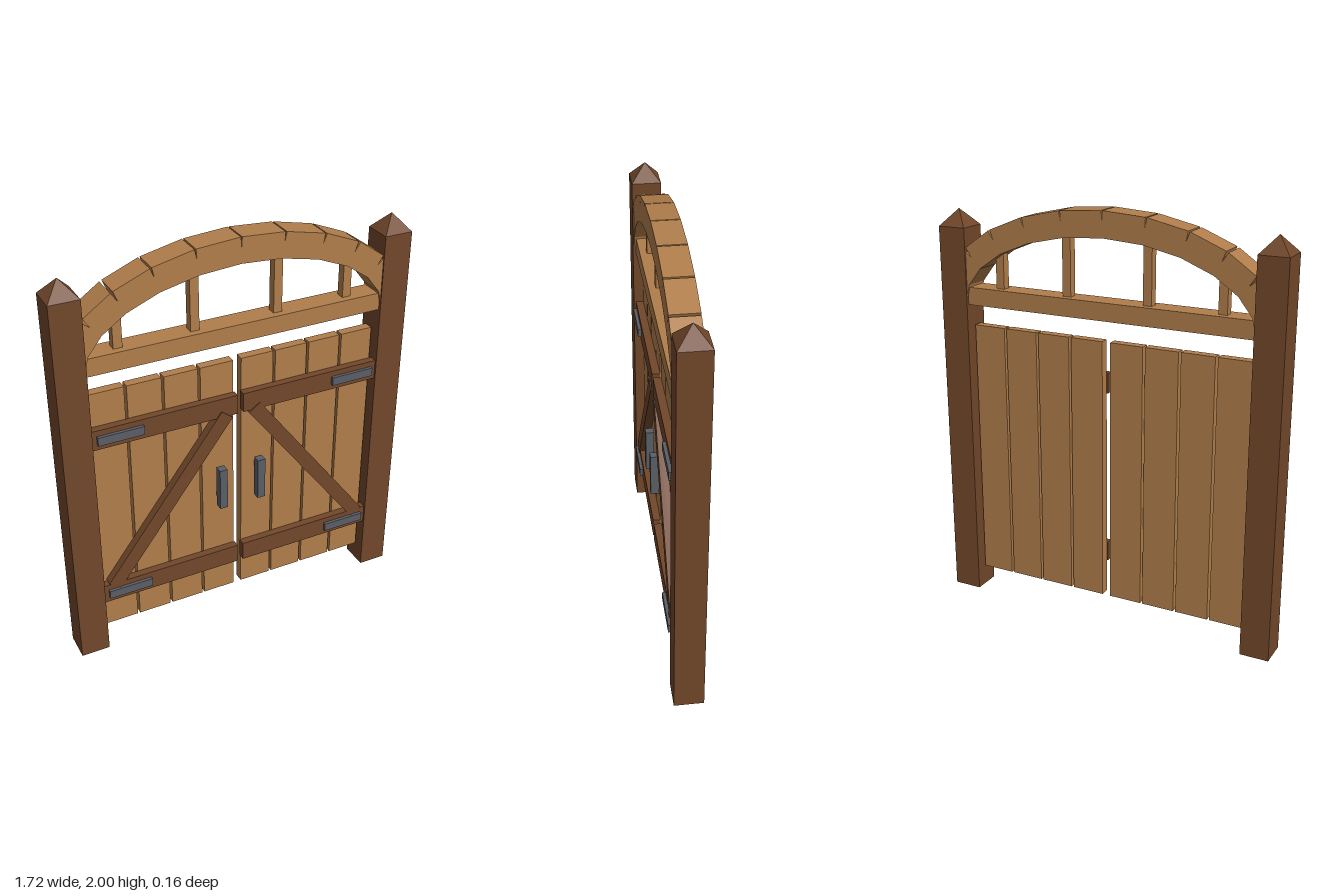
import * as THREE from 'three';

const wood = new THREE.MeshStandardMaterial({ color: 0xb07d4b });
wood.name = 'light wood';
const darkWood = new THREE.MeshStandardMaterial({ color: 0x71472a });
darkWood.name = 'dark wood';
const iron = new THREE.MeshStandardMaterial({ color: 0x5a5f66 });
iron.name = 'iron';

const MID = -0.0075; // depth of the gate's centre plane

// Box given by its centre in x and y, its size, and its back and front z
function box(name, material, x, y, w, h, back, front, angle = 0) {
  const mesh = new THREE.Mesh(new THREE.BoxGeometry(w, h, front - back), material);
  mesh.name = name;
  mesh.position.set(x, y, (back + front) / 2);
  mesh.rotation.z = angle;
  return mesh;
}

// Box running from point a to point b in the gate's plane
function bar(name, material, a, b, h, back, front, extra = 0) {
  const d = b.clone().sub(a);
  return box(name, material, (a.x + b.x) / 2, (a.y + b.y) / 2, d.length() + extra, h, back, front, Math.atan2(d.y, d.x));
}

function createPost(side) {
  const post = new THREE.Group();
  post.name = side > 0 ? 'leftPost' : 'rightPost';
  post.add(box('postShaft', darkWood, side * 0.79, 0.935, 0.14, 1.87, MID - 0.07, MID + 0.07));
  // Pyramid cap
  const capGeometry = new THREE.ConeGeometry(0.07 * Math.SQRT2, 0.08, 4, 1).rotateY(Math.PI / 4).toNonIndexed();
  capGeometry.computeVertexNormals();
  const cap = new THREE.Mesh(capGeometry, darkWood);
  cap.name = 'postCap';
  cap.position.set(side * 0.79, 1.91, MID);
  post.add(cap);
  return post;
}

function createDoor(side) {
  const door = new THREE.Group();
  door.name = side > 0 ? 'leftDoor' : 'rightDoor';
  // Upright planks
  for (let i = 0; i < 4; i++) {
    door.add(box('plank', wood, side * (0.102 + i * 0.175), 0.755, 0.163, 1.29, -0.03, 0.015));
  }
  // Cross rails with their hinges
  for (const y of [0.325, 1.188]) {
    door.add(box('rail', darkWood, side * 0.3675, y, 0.705, 0.097, 0.015, 0.052));
    door.add(box('hinge', iron, side * 0.588, y, 0.218, 0.042, 0.045, 0.068));
  }
  // Diagonal brace
  door.add(bar('brace', darkWood, new THREE.Vector2(side * 0.07, 1.151), new THREE.Vector2(side * 0.665, 0.362), 0.07, 0.015, 0.057));
  door.add(box('handle', iron, side * 0.1, 0.756, 0.039, 0.216, 0.037, 0.0775));
  return door;
}

function createArch() {
  const arch = new THREE.Group();
  arch.name = 'arch';
  // Straight blocks laid along half an ellipse, leaving small notches on the outside
  const point = (i) => {
    const t = (i * Math.PI) / 12;
    return new THREE.Vector2(0.79 * Math.cos(t), 1.52 + 0.42 * Math.sin(t));
  };
  for (let i = 0; i < 12; i++) {
    arch.add(bar('archBlock', wood, point(i), point(i + 1), 0.121, MID - 0.064, MID + 0.064, 0.002));
  }
  // Lower beam and the spindles between beam and arch
  arch.add(box('beam', wood, 0, 1.547, 1.44, 0.085, MID - 0.055, MID + 0.055));
  for (const side of [-1, 1]) {
    for (const [x, top] of [[0.203, 1.9], [0.56, 1.78]]) {
      arch.add(box('spindle', wood, side * x, (1.58 + top) / 2, 0.042, top - 1.58, MID - 0.021, MID + 0.021));
    }
  }
  return arch;
}

export function createModel() {
  const gate = new THREE.Group();
  gate.name = 'gardenGate';
  for (const side of [-1, 1]) gate.add(createPost(side), createDoor(side));
  gate.add(createArch());
  return gate;
}
